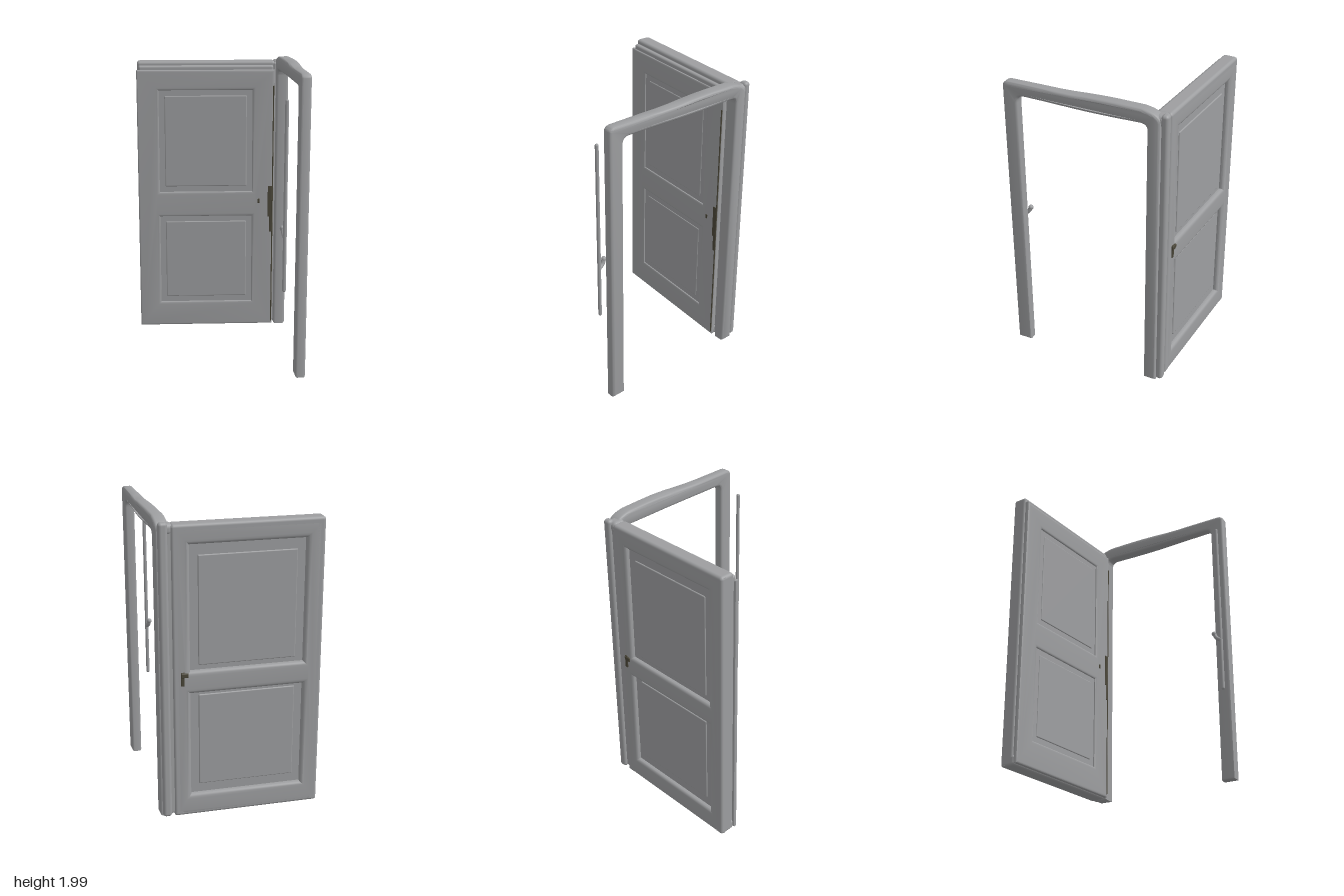
import * as THREE from 'three';
import { toCreasedNormals } from 'three/addons/utils/BufferGeometryUtils.js';
import { RoundedBoxGeometry } from 'three/addons/geometries/RoundedBoxGeometry.js';

const grey = new THREE.MeshStandardMaterial({ color: 0x9d9ea0 });
grey.name = 'grey paint';
const bronze = new THREE.MeshStandardMaterial({ color: 0x4a4638 });
bronze.name = 'dark bronze';

function add(parent, name, geometry, material = grey) {
  const mesh = new THREE.Mesh(geometry, material);
  mesh.name = name;
  parent.add(mesh);
  return mesh;
}

// Rounded box given by its two opposite corners
function box(parent, name, [x0, y0, z0], [x1, y1, z1], radius, material) {
  const mesh = add(parent, name, new RoundedBoxGeometry(x1 - x0, y1 - y0, z1 - z0, 3, radius), material);
  mesh.position.set((x0 + x1) / 2, (y0 + y1) / 2, (z0 + z1) / 2);
  return mesh;
}

function rectPath(path, x0, y0, x1, y1) {
  path.moveTo(x0, y0);
  path.lineTo(x1, y0);
  path.lineTo(x1, y1);
  path.lineTo(x0, y1);
  path.closePath();
  return path;
}

// Bordered face layer with two sunken openings and soft sloping edges
function panelLayer([x0, y0, x1, y1], openings, depth, slope, rise) {
  const shape = rectPath(new THREE.Shape(), x0 + slope, y0 + slope, x1 - slope, y1 - slope);
  for (const [a, b, c, d] of openings) {
    shape.holes.push(rectPath(new THREE.Path(), a - slope, b - slope, c + slope, d + slope));
  }
  const geometry = new THREE.ExtrudeGeometry(shape, {
    depth, bevelEnabled: true, bevelThickness: rise, bevelSize: slope, bevelSegments: 4,
  });
  return toCreasedNormals(geometry, 0.5);
}

function buildDoor() {
  const door = new THREE.Group();
  door.name = 'door';
  door.position.set(-0.04, 0, -0.49);
  door.rotation.y = -0.065;

  // Core slab with a rounded rim
  box(door, 'doorCore', [-0.478, 0.025, -0.03], [0.465, 1.93, 0.064], 0.015);
  box(door, 'topCap', [-0.488, 1.9, -0.062], [0.478, 1.958, 0.038], 0.02);
  box(door, 'bottomEdge', [-0.488, 0.01, -0.06], [0.478, 0.08, 0.05], 0.02);
  for (const [x0, x1] of [[-0.488, -0.42], [0.41, 0.478]]) {
    box(door, 'sideEdge', [x0, 0.012, -0.062], [x1, 1.955, 0.036], 0.018);
  }

  // Front and back faces with an upper and a lower opening
  const front = add(door, 'frontFace', panelLayer([-0.492, 0.02, 0.474, 1.9],
    [[-0.34, 0.2, 0.32, 0.85], [-0.34, 1.03, 0.32, 1.76]], 0.016, 0.02, 0.008));
  front.position.z = 0.052;
  const back = add(door, 'backFace', panelLayer([-0.486, 0.015, 0.474, 1.95],
    [[-0.37, 0.16, 0.365, 0.87], [-0.37, 1.02, 0.365, 1.83]], 0.01, 0.032, 0.022));
  back.position.z = -0.04;

  // Low raised fields inside the openings
  for (const [y0, y1] of [[0.24, 0.81], [1.07, 1.72]]) {
    box(door, 'frontField', [-0.3, y0, 0.054], [0.28, y1, 0.069], 0.007);
    box(door, 'backField', [-0.32, y0 - 0.02, -0.037], [0.31, y1 + 0.04, -0.02], 0.007);
  }

  // Lock plates, keyhole and seal
  box(door, 'frontLockPlate', [0.434, 0.84, 0.071], [0.464, 1.07, 0.079], 0.003, bronze);
  box(door, 'frontLockTail', [0.446, 0.73, 0.071], [0.464, 0.85, 0.079], 0.003, bronze);
  box(door, 'keyhole', [0.36, 0.945, 0.071], [0.376, 0.975, 0.079], 0.003, bronze);
  box(door, 'edgeSeal', [0.463, 0.04, 0.071], [0.471, 1.79, 0.079], 0.003, bronze);
  box(door, 'backLockPlate', [0.405, 0.93, -0.068], [0.428, 1.02, -0.06], 0.003, bronze);
  box(door, 'backHandle', [0.38, 0.985, -0.073], [0.428, 1.015, -0.06], 0.006, bronze);
  return door;
}

// Upside-down U in the z-y plane, extruded across x, tapering to the front
function frameGeometry() {
  const b = 0.018;
  const s = new THREE.Shape();
  s.moveTo(-0.484 + b, 0.01 + b);
  s.lineTo(-0.40 - b, 0.01 + b);
  s.lineTo(-0.40 - b, 1.86);
  s.quadraticCurveTo(-0.40 - b, 1.902 + b, -0.35, 1.902 + b);
  for (const z of [-0.2, -0.1, 0, 0.1, 0.2, 0.3]) s.lineTo(z, 1.9 + b);
  s.lineTo(0.43, 1.9 + b);
  s.quadraticCurveTo(0.48 + b, 1.9 + b, 0.48 + b, 1.85);
  s.lineTo(0.48 + b, 0.01 + b);
  s.lineTo(0.577 - b, 0.01 + b);
  s.lineTo(0.577 - b, 1.95);
  s.quadraticCurveTo(0.577 - b, 1.985 - b, 0.53, 1.985 - b);
  for (const z of [0.3, 0.2, 0.1, 0, -0.1, -0.2]) {
    s.lineTo(z, 1.985 + 0.013 * THREE.MathUtils.smoothstep(-z, -0.2, 0.1) - b);
  }
  s.lineTo(-0.36, 1.995 - b);
  s.quadraticCurveTo(-0.484 + b, 1.98 - b, -0.484 + b, 1.92);
  s.closePath();
  const g = new THREE.ExtrudeGeometry(s, {
    depth: 0.086 - 2 * b, bevelEnabled: true, bevelThickness: b, bevelSize: b, bevelSegments: 4, curveSegments: 8,
  });
  g.translate(0, 0, b - 0.043);
  g.rotateY(-Math.PI / 2);
  const p = g.attributes.position;
  for (let i = 0; i < p.count; i++) {
    const t = THREE.MathUtils.smoothstep(p.getZ(i), -0.1, 0.5);
    p.setX(i, 0.485 - 0.02 * t + p.getX(i) * (1 - 0.22 * t));
  }
  return toCreasedNormals(g, 0.7);
}

export function createModel() {
  const model = new THREE.Group();
  model.name = 'openDoorWithFrame';
  model.add(buildDoor());
  add(model, 'doorFrame', frameGeometry());

  // Narrow stop behind the hinge post, joined to the frame at the top
  box(model, 'hingeStop', [0.46, 0.02, -0.53], [0.518, 1.975, -0.482], 0.02);
  box(model, 'hingeFiller', [0.42, 0.03, -0.51], [0.48, 1.95, -0.42], 0.015);
  box(model, 'cornerJoint', [0.42, 1.89, -0.515], [0.515, 1.965, -0.42], 0.03);

  // Free-standing lock rod with its lever
  const rod = add(model, 'lockRod', new THREE.CapsuleGeometry(0.012, 1.21, 4, 10));
  rod.position.set(0.35, 1.215, 0.56);
  const lever = new THREE.CatmullRomCurve3([
    [0.35, 0.96, 0.56], [0.345, 0.98, 0.53], [0.342, 1.01, 0.515],
  ].map((q) => new THREE.Vector3(...q)));
  add(model, 'rodLever', new THREE.TubeGeometry(lever, 10, 0.014, 10));
  const knob = add(model, 'rodKnob', new THREE.SphereGeometry(0.017, 12, 8));
  knob.position.set(0.341, 1.01, 0.515);
  return model;
}
